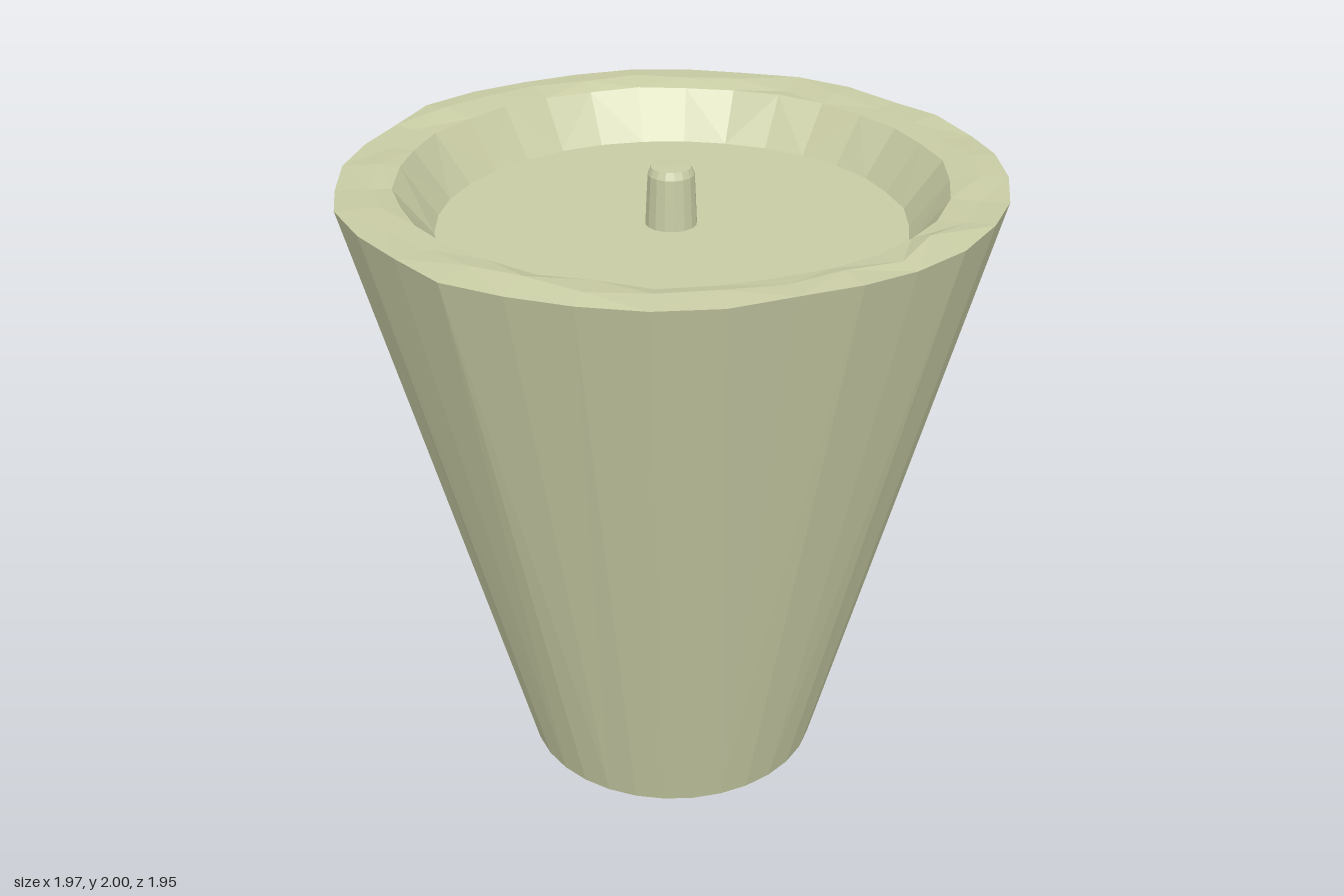
import * as THREE from 'three';

const SIDES = 32;
const CZ = 0.005; // slight offset of the hand-cut recess

// Outer edge of the roughly cut rim, one radius per side, starting at +x towards +z
const EDGE = [0.98, 0.99, 0.986, 0.987, 0.99, 0.987, 0.982, 0.965, 0.97, 0.962, 0.982, 0.982, 0.976, 0.979, 0.997, 0.98,
  0.987, 0.998, 0.982, 0.982, 0.97, 0.965, 0.995, 0.98, 0.975, 0.995, 0.985, 0.99, 0.985, 0.995, 0.982, 0.98];

function seeded(seed) {
  return () => {
    seed = (seed * 16807) % 2147483647;
    return seed / 2147483647 - 0.5;
  };
}

// Ring of points; radius may be a number or a function of the side index
function ring(radius, y, cz = 0, jitterR = 0, jitterY = 0, seed = 1) {
  const rand = seeded(seed * 7919);
  return Array.from({ length: SIDES }, (_, i) => {
    const a = (i / SIDES) * Math.PI * 2;
    const r = (typeof radius === 'function' ? radius(i) : radius) + rand() * jitterR;
    return [r * Math.cos(a), y + rand() * jitterY, cz + r * Math.sin(a)];
  });
}

// Flat-faceted skin between successive rings
function loft(rings) {
  const pos = [];
  for (let k = 0; k < rings.length - 1; k++) {
    for (let i = 0; i < SIDES; i++) {
      const j = (i + 1) % SIDES;
      const [a, b, c, d] = [rings[k][i], rings[k + 1][i], rings[k + 1][j], rings[k][j]];
      // Alternate the diagonal for a chipped look
      if (i % 2) pos.push(...a, ...b, ...c, ...a, ...c, ...d);
      else pos.push(...a, ...b, ...d, ...b, ...c, ...d);
    }
  }
  const g = new THREE.BufferGeometry();
  g.setAttribute('position', new THREE.Float32BufferAttribute(pos, 3));
  g.computeVertexNormals();
  return g;
}

export function createModel() {
  const group = new THREE.Group();
  const material = new THREE.MeshStandardMaterial({ color: 0xc8cca4, flatShading: true });
  const add = (name, geometry) => {
    const mesh = new THREE.Mesh(geometry, material);
    mesh.name = name;
    group.add(mesh);
    return mesh;
  };

  const base = ring(0.477, 0, 0.008);
  const outerEdge = ring((i) => EDGE[i], 1.973, 0, 0, 0.015, 3);
  const rimMiddle = ring(0.89, 1.978, CZ, 0.05, 0.026, 5);
  const innerEdge = ring(0.815, 1.968, CZ, 0.015, 0.012, 8);
  const floorEdge = ring(0.708, 1.82, CZ, 0.008, 0, 11);

  // Tapered body and its underside
  add('outerWall', loft([base, outerEdge]));
  add('underside', new THREE.CircleGeometry(0.477, SIDES).rotateX(Math.PI / 2).translate(0, 0, 0.008));

  // Rough rim, sloping recess wall and flat recess floor
  add('rim', loft([outerEdge, rimMiddle, innerEdge]));
  add('recessWall', loft([innerEdge, floorEdge]));
  add('recessFloor', loft([floorEdge, ring(0, 1.82, CZ)]));

  // Small central peg with a softened top
  const profile = [[0.078, 1.815], [0.074, 1.9], [0.07, 1.975], [0.06, 1.997], [0, 2]];
  const peg = add('peg', new THREE.LatheGeometry(profile.map(([x, y]) => new THREE.Vector2(x, y)), 16));
  peg.position.set(-0.01, 0, 0.015);

  return group;
}
